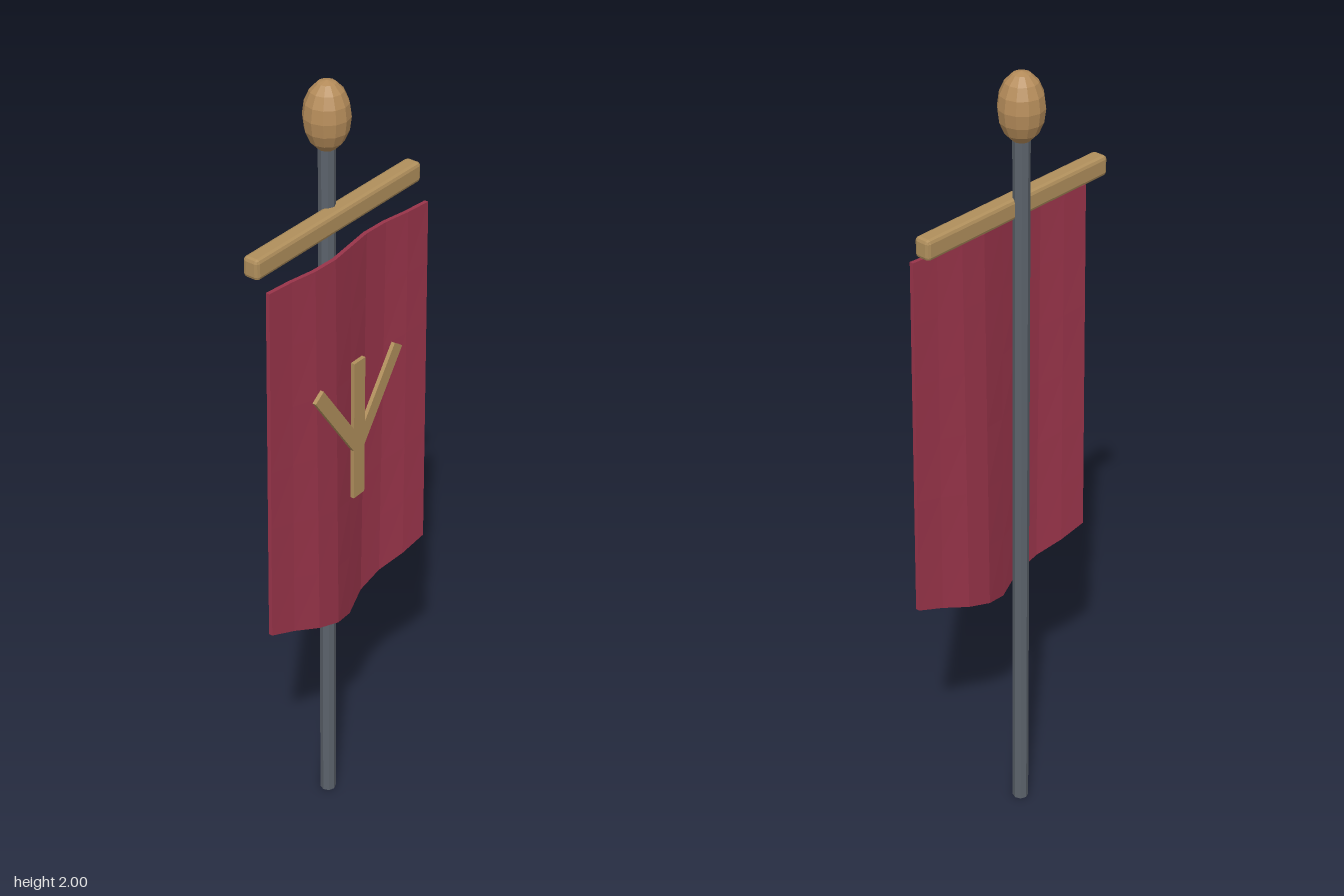
import * as THREE from 'three';
import { RoundedBoxGeometry } from 'three/addons/geometries/RoundedBoxGeometry.js';

const flat = (name, color) => {
  const m = new THREE.MeshStandardMaterial({ color, flatShading: true });
  m.name = name;
  return m;
};

// Rippled cloth: a thin box whose waves deepen towards a pointed hem
function clothGeometry() {
  const geo = new THREE.BoxGeometry(0.54, 1, 0.01, 8, 6, 1);
  const p = geo.attributes.position;
  const top = 1.62;
  for (let i = 0; i < p.count; i++) {
    const x = p.getX(i);
    const down = 0.5 - p.getY(i);
    const hem = 0.6 + 0.09 * Math.abs(x) / 0.27;
    const wave = -Math.sin(x * 17.5) * (0.01 + 0.01 * down);
    p.setXYZ(i, x, top + (hem - top) * down, p.getZ(i) + 0.041 + wave);
  }
  geo.computeVertexNormals();
  return geo;
}

export function createModel() {
  const iron = flat('iron grey', 0x5b626b);
  const wood = flat('golden wood', 0xb08f5c);
  const finialWood = flat('finial wood', 0xb58c5a);
  const red = flat('crimson cloth', 0x99344a);

  const model = new THREE.Group();
  model.name = 'banner';
  const add = (name, geo, mat, x, y, z, parent = model) => {
    const mesh = new THREE.Mesh(geo, mat);
    mesh.name = name;
    mesh.position.set(x, y, z);
    parent.add(mesh);
    return mesh;
  };

  // Pole and egg-shaped finial
  add('pole', new THREE.CylinderGeometry(0.02, 0.02, 1.87, 8), iron, 0, 0.935, -0.022);
  const finial = new THREE.SphereGeometry(0.054, 12, 8).scale(1, 0.083 / 0.054, 1);
  add('finial', finial, finialWood, 0, 1.917, -0.022);

  // Chamfered crossbar
  add('crossbar', new RoundedBoxGeometry(0.58, 0.05, 0.042, 1, 0.009), wood, 0, 1.677, 0);

  add('cloth', clothGeometry(), red, 0, 0, 0);

  // Forked emblem: an upright with two slanted arms
  const emblem = new THREE.Group();
  emblem.name = 'emblem';
  model.add(emblem);
  add('emblemUpright', new THREE.BoxGeometry(0.04, 0.37, 0.01), wood, 0, 1.15, 0.067, emblem);
  for (const side of [-1, 1]) {
    const arm = add('emblemArm', new THREE.BoxGeometry(0.035, 0.254, 0.0096), wood,
      side * 0.0725, 1.204, 0.067, emblem);
    arm.rotation.z = -side * 0.61;
  }
  return model;
}
